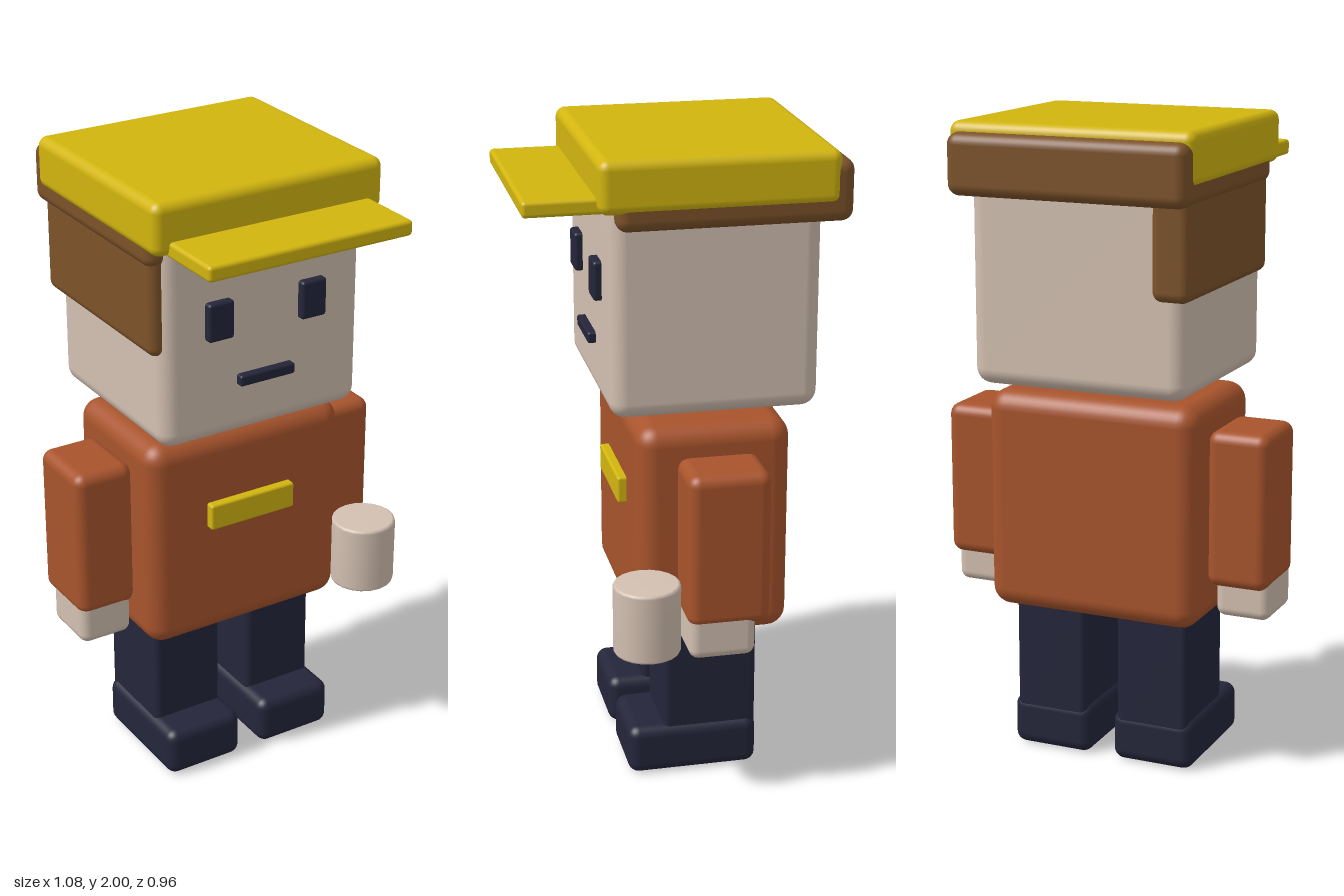
import * as THREE from 'three';
import { RoundedBoxGeometry } from 'three/addons/geometries/RoundedBoxGeometry.js';

const material = (name, color) => new THREE.MeshStandardMaterial({ name, color });

export function createModel() {
  const skin = material('skin', 0xd3c0b1);
  const shirt = material('rust shirt', 0xa8542c);
  const navy = material('navy', 0x24253a);
  const yellow = material('yellow', 0xd2b50f);
  const hair = material('brown hair', 0x7c5229);

  const model = new THREE.Group();
  model.name = 'blockyFigure';
  const body = new THREE.Group();
  body.name = 'body';
  body.position.x = -0.005; // the cup makes the figure slightly off centre
  model.add(body);

  // Rounded block given by its extents on each axis
  function block(name, mat, [x0, x1], [y0, y1], [z0, z1], radius) {
    const mesh = new THREE.Mesh(
      new RoundedBoxGeometry(x1 - x0, y1 - y0, z1 - z0, 4, radius), mat);
    mesh.name = name;
    mesh.position.set((x0 + x1) / 2, (y0 + y1) / 2, (z0 + z1) / 2);
    body.add(mesh);
  }

  // Head and torso
  block('head', skin, [-0.345, 0.345], [1.21, 1.9], [-0.4, 0.23], 0.05);
  block('torso', shirt, [-0.345, 0.345], [0.485, 1.175], [-0.32, 0.15], 0.06);
  block('badge', yellow, [-0.15, 0.15], [0.87, 0.955], [0.12, 0.178], 0.008);
  block('mouth', navy, [-0.095, 0.095], [1.375, 1.41], [0.2, 0.255], 0.008);

  // Hair cap, with a longer lock on the right side only
  block('hairCap', hair, [-0.38, 0.38], [1.785, 1.97], [-0.483, 0.215], 0.035);
  block('sideHair', hair, [-0.37, -0.25], [1.51, 1.9], [-0.435, 0.21], 0.03);

  // Flat cap and its brim
  block('hat', yellow, [-0.387, 0.387], [1.84, 2.0], [-0.443, 0.267], 0.03);
  block('hatBrim', yellow, [-0.34, 0.34], [1.837, 1.885], [0.1, 0.48], 0.012);

  // Mirrored parts
  for (const [side, s] of [['left', 1], ['right', -1]]) {
    const span = (a, b) => (s > 0 ? [a, b] : [-b, -a]);
    block(side + 'Eye', navy, span(0.117, 0.203), [1.54, 1.66], [0.2, 0.255], 0.01);
    block(side + 'Arm', shirt, span(0.34, 0.535), [0.605, 1.09], [-0.213, 0.037], 0.035);
    block(side + 'Hand', skin, span(0.355, 0.53), [0.5, 0.68], [-0.17, 0.032], 0.03);
    block(side + 'Leg', navy, span(0.053, 0.29), [0.05, 0.55], [-0.233, 0.063], 0.02);
    block(side + 'Shoe', navy, span(0.038, 0.305), [0, 0.16], [-0.235, 0.175], 0.035);
  }

  // Cup held at the left hand: a solid with softened rims
  const profile = [[0, 0.508], [0.094, 0.508], [0.1, 0.511], [0.103, 0.518],
    [0.103, 0.722], [0.1, 0.729], [0.094, 0.732], [0, 0.732]]
    .map(([r, y]) => new THREE.Vector2(r, y));
  const cup = new THREE.Mesh(new THREE.LatheGeometry(profile, 20), skin);
  cup.name = 'cup';
  cup.position.set(0.442, 0, 0.147);
  body.add(cup);

  return model;
}
